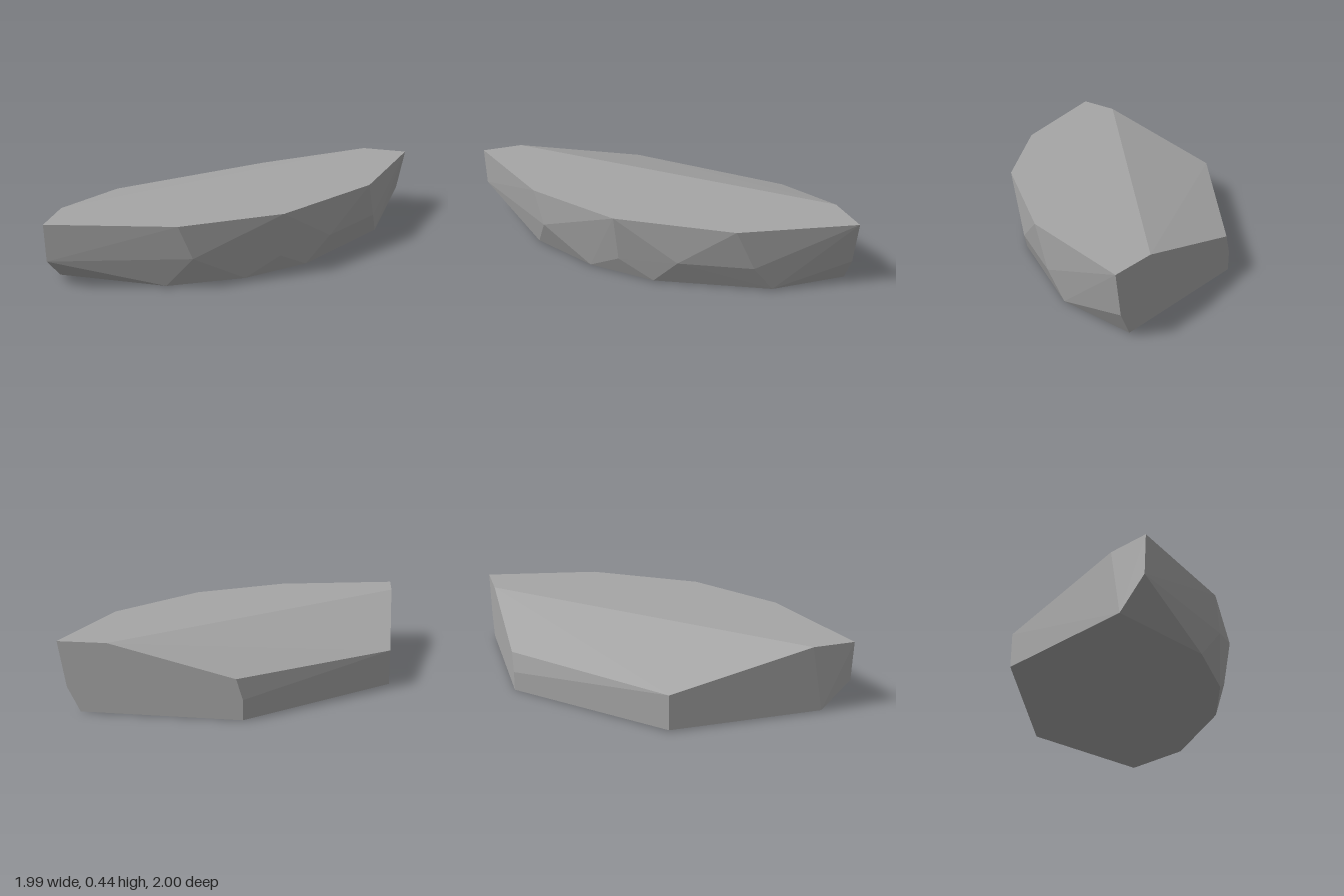
import * as THREE from 'three';
import { ConvexGeometry } from 'three/addons/geometries/ConvexGeometry.js';

// A faceted stone slab: rings of corners at three heights, wrapped in a convex skin.
export function createModel() {
  const stone = new THREE.MeshStandardMaterial({ color: 0xa6a6a6 });
  stone.name = 'grey stone';

  // flat upper face, with its ridge running from the right side to the back
  const top = 0.445;
  const upper = [
    [-1, 0.72], [-0.99, 1], [-0.18, 0.81], [0.4, 0.43], [0.84, -0.23], [0.99, -1], [0.68, -1],
  ].map(([x, z]) => [x, top, z]);

  // edge of the sloping back corner
  const slope = [[-1, 0.24, -0.2], [-0.1, 0.255, -1], [-0.14, 0.127, -1]];

  // corners halfway down the chipped front side
  const middle = [
    [-0.99, 0.19, 0.99], [-0.1, 0.22, 0.77], [0.37, 0.135, 0.39],
    [0.635, 0.18, 0.08], [0.86, 0.18, -0.35], [0.94, 0.16, -1],
  ];

  // underside
  const base = [
    [-1, 0.01, -0.2], [-1, 0.01, 0.8], [-0.28, 0.01, 0.77], [0.17, 0.01, 0.525],
    [0.5, 0.005, 0.195], [0.86, 0.01, -0.485], [0.86, 0.005, -1], [-0.14, 0, -1],
  ];

  const corners = [...upper, ...slope, ...middle, ...base].map((p) => new THREE.Vector3(...p));
  const slab = new THREE.Mesh(new ConvexGeometry(corners), stone);
  slab.name = 'stoneSlab';

  const group = new THREE.Group();
  group.name = 'rock';
  group.add(slab);
  return group;
}
